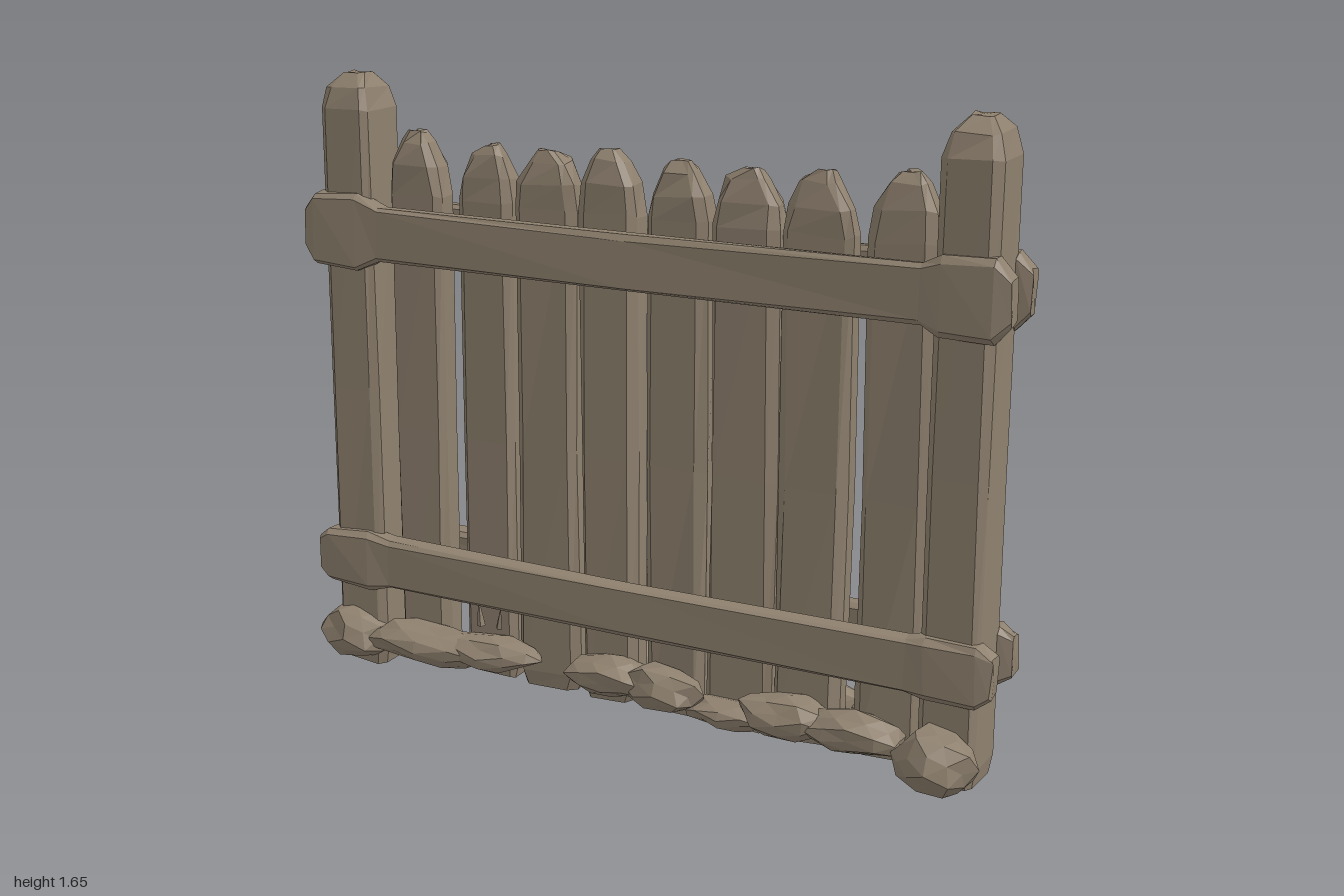
import * as THREE from 'three';

// seeded wobble in -1..1
let seed = 7;
const rnd = () => {
  seed = (seed * 16807) % 2147483647;
  return (seed / 2147483647) * 2 - 1;
};

// Loft of chamfered rectangles; section = [position, centre u, centre v, half u, half v]
function beam(sections, map, chamfer = 0.3, wobble = 0.004) {
  const rings = sections.map(([t, u, v, a, b]) => {
    const c = Math.min(a, b) * chamfer;
    return [[a, b - c], [a - c, b], [c - a, b], [-a, b - c], [-a, c - b], [c - a, -b], [a - c, -b], [a, c - b]]
      .map(([p, q]) => map(t + rnd() * wobble, u + p + rnd() * wobble, v + q + rnd() * wobble));
  });
  const pos = [];
  const tri = (...pts) => pts.forEach((p) => pos.push(...p));
  const cap = (ring, sec, flip) => {
    const mid = map(sec[0], sec[1], sec[2]);
    for (let i = 0; i < 8; i++) {
      const a = ring[i], b = ring[(i + 1) % 8];
      flip ? tri(mid, b, a) : tri(mid, a, b);
    }
  };
  for (let k = 0; k + 1 < rings.length; k++) {
    for (let i = 0; i < 8; i++) {
      const j = (i + 1) % 8;
      tri(rings[k][i], rings[k][j], rings[k + 1][j]);
      tri(rings[k][i], rings[k + 1][j], rings[k + 1][i]);
    }
  }
  cap(rings[0], sections[0], true);
  cap(rings[rings.length - 1], sections[sections.length - 1], false);
  const g = new THREE.BufferGeometry();
  g.setAttribute('position', new THREE.Float32BufferAttribute(pos, 3));
  g.computeVertexNormals();
  return g;
}
// both mappings keep the winding outward
const upright = (t, u, v) => [v, t, u];
const lying = (t, u, v) => [t, u, v];

// Faceted boulder, jittered by vertex direction
function rock(rx, ry, rz, k) {
  const g = new THREE.IcosahedronGeometry(1, 1);
  const p = g.attributes.position;
  for (let i = 0; i < p.count; i++) {
    const x = p.getX(i), y = p.getY(i), z = p.getZ(i);
    const s = 1 + 0.09 * Math.sin(5 * x + 3 * y + k) + 0.07 * Math.sin(7 * z - 4 * y + 2 * k);
    p.setXYZ(i, x * s * rx, y * s * ry, z * s * rz);
  }
  g.computeVertexNormals();
  return g;
}

export function createModel() {
  seed = 7;
  const model = new THREE.Group();
  const wood = new THREE.MeshStandardMaterial({ color: 0x8e806e, flatShading: true });
  wood.name = 'weathered brown';
  const add = (name, geometry, x = 0, y = 0, z = 0) => {
    const m = new THREE.Mesh(geometry, wood);
    m.name = name;
    m.position.set(x, y, z);
    model.add(m);
    return m;
  };

  // End posts with rounded tops
  for (const [name, x] of [['rightPost', -0.845], ['leftPost', 0.873]]) {
    add(name, beam([
      [0.01, 0.027, x, 0.075, 0.068],
      [0.06, 0.027, x, 0.083, 0.077],
      [0.8, 0.027, x, 0.082, 0.075],
      [1.56, 0.027, x, 0.082, 0.074],
      [1.615, 0.022, x, 0.07, 0.06],
      [1.65, 0.018, x, 0.03, 0.028],
    ], upright, 0.25));
  }

  // Pickets: left edge, right edge, top
  const pickets = [
    [-0.745, -0.58, 1.505], [-0.53, -0.37, 1.487], [-0.362, -0.178, 1.485], [-0.17, -0.003, 1.5],
    [0.022, 0.19, 1.488], [0.2, 0.385, 1.483], [0.392, 0.572, 1.492], [0.61, 0.785, 1.505],
  ];
  pickets.forEach(([x0, x1, top], i) => {
    const x = (x0 + x1) / 2, w = (x1 - x0) / 2;
    add('picket' + (i + 1), beam([
      [0.025, 0.015, x, 0.04, w * 0.88],
      [0.07, 0.015, x, 0.046, w],
      [0.7, 0.015, x, 0.044, w * 0.98],
      [1.34, 0.015, x, 0.046, w * 0.98],
      [top - 0.085, 0.015, x, 0.044, w * 0.86],
      [top - 0.025, 0.015, x + rnd() * 0.008, 0.034, w * 0.54],
      [top, 0.015, x + rnd() * 0.012, 0.018, w * 0.24],
    ], upright, 0.45, 0.006));
  });

  // Rails, thickened where they lap the posts
  const rails = [
    ['frontTopRail', 1.24, 0.1, 0.073, 0.031, 0.105],
    ['frontBottomRail', 0.32, 0.103, 0.07, 0.031, 0.085],
    ['backTopRail', 1.235, -0.053, 0.073, 0.028, 0.1],
    ['backBottomRail', 0.32, -0.057, 0.07, 0.03, 0.082],
  ];
  for (const [name, y, z, h, d, knob] of rails) {
    add(name, beam([
      [-0.962, y, z, h * 0.75, d * 0.8],
      [-0.93, y, z, knob * 0.92, d * 1.15],
      [-0.8, y, z, knob, d * 1.15],
      [-0.73, y, z, h, d],
      [0, y - 0.002, z, h * 0.98, d],
      [0.77, y, z, h, d],
      [0.82, y, z, knob * 0.92, d * 1.15],
      [0.95, y, z, knob * 0.95, d * 1.15],
      [0.988, y, z, h * 0.75, d * 0.8],
    ], lying, 0.4));
  }

  // Stones along the base: x, y, z, radii
  const stones = [
    [-0.86, 0.095, 0.1, 0.115, 0.075, 0.075], [-0.62, 0.105, 0.11, 0.2, 0.055, 0.08],
    [-0.43, 0.115, 0.1, 0.15, 0.045, 0.07],
    [-0.06, 0.115, 0.09, 0.125, 0.055, 0.075], [0.1, 0.115, 0.1, 0.12, 0.06, 0.06],
    [0.27, 0.07, 0.075, 0.12, 0.04, 0.06], [0.45, 0.11, 0.1, 0.13, 0.055, 0.075],
    [0.64, 0.11, 0.11, 0.14, 0.055, 0.07], [0.87, 0.1, 0.155, 0.105, 0.082, 0.085],
    [-0.83, 0.1, -0.12, 0.13, 0.07, 0.09], [-0.44, 0.1, -0.06, 0.08, 0.06, 0.055],
    [-0.07, 0.11, -0.07, 0.1, 0.06, 0.065], [0.15, 0.1, -0.055, 0.14, 0.055, 0.055],
    [0.48, 0.1, -0.055, 0.12, 0.055, 0.055], [0.75, 0.105, -0.06, 0.2, 0.055, 0.055],
  ];
  stones.forEach(([x, y, z, rx, ry, rz], i) => {
    add('stone' + (i + 1), rock(rx, ry, rz, i * 1.7), x, y, z);
  });

  // Loose splinters near the right post and base
  const splinters = [
    [-0.985, 0.415, -0.09, 0.1, 0.012], [-0.965, 0.2, -0.165, 0.09, 0.012],
    [-0.47, 0.215, 0.08, 0.08, 0.012], [-0.4, 0.215, 0.09, 0.07, 0.01],
  ];
  splinters.forEach(([x, y, z, h, r], i) => {
    const s = add('splinter' + (i + 1), new THREE.ConeGeometry(r, h, 4), x, y, z);
    s.rotation.set(0.15, i, i % 2 ? 0.2 : -0.12);
  });

  return model;
}
